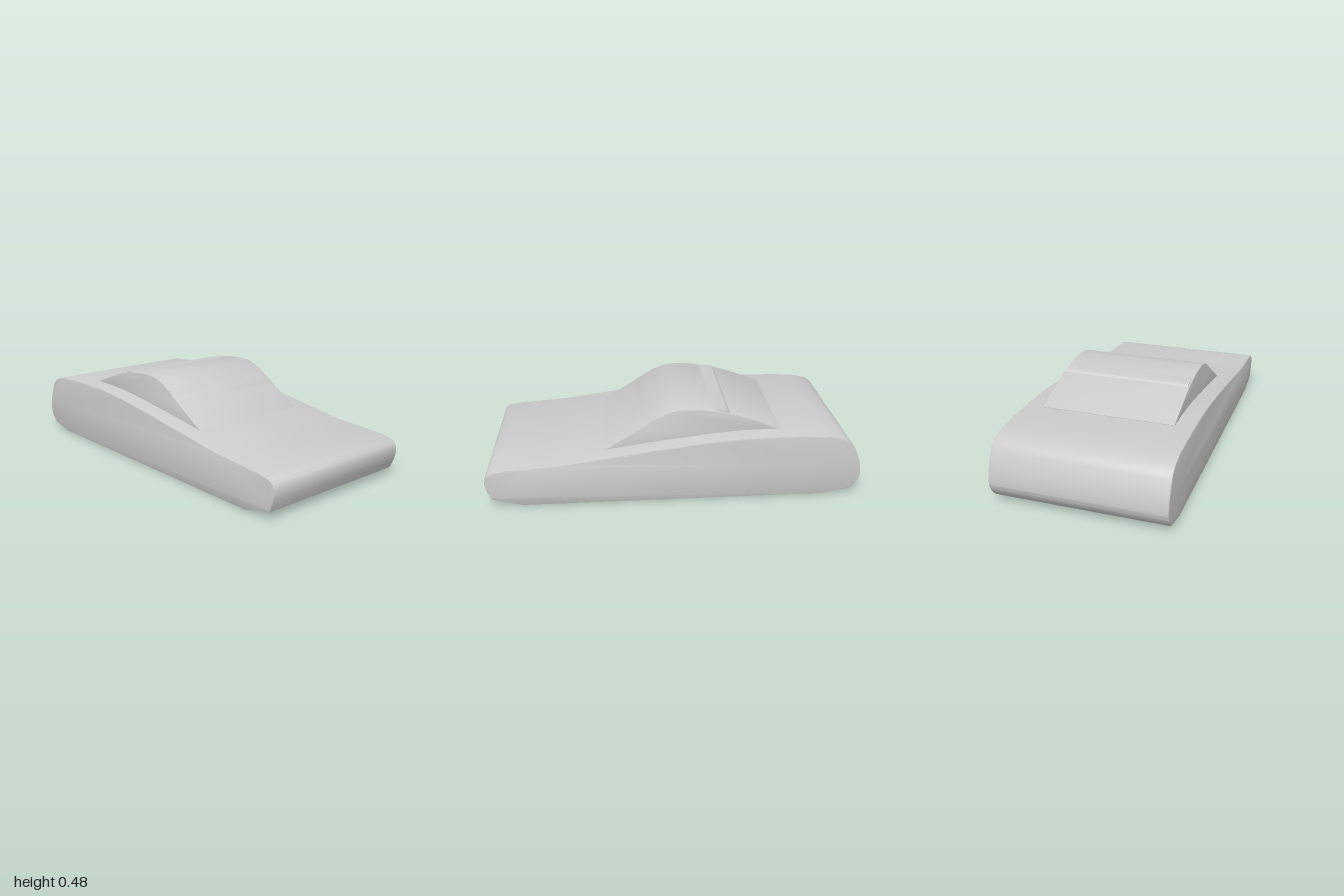
import * as THREE from 'three';
import { toCreasedNormals } from 'three/addons/utils/BufferGeometryUtils.js';

const material = new THREE.MeshStandardMaterial({ color: 0xcccccc });

// Extrudes a side profile (z, y) across the width, centred on x = 0
function profilePart(name, shape, width, bevel) {
  const depth = width - 2 * bevel;
  const extruded = new THREE.ExtrudeGeometry(shape, {
    depth, curveSegments: 10,
    bevelEnabled: bevel > 0, bevelSize: bevel, bevelThickness: bevel,
    bevelOffset: -bevel, bevelSegments: 2,
  });
  extruded.translate(0, 0, -depth / 2);
  extruded.rotateY(-Math.PI / 2);
  const mesh = new THREE.Mesh(toCreasedNormals(extruded, 0.45), material);
  mesh.name = name;
  return mesh;
}

export function createModel() {
  const model = new THREE.Group();
  model.name = 'car';

  // Wedge body: flat floor, chamfered ends, rounded nose and tail
  const body = new THREE.Shape();
  body.moveTo(-0.81, 0);
  body.lineTo(0.81, 0);
  body.lineTo(0.97, 0.04);
  body.bezierCurveTo(0.985, 0.075, 1.0, 0.105, 1.0, 0.14);
  body.bezierCurveTo(1.0, 0.185, 0.975, 0.198, 0.92, 0.205);
  body.bezierCurveTo(0.8, 0.219, 0.68, 0.217, 0.56, 0.235);
  body.bezierCurveTo(0.35, 0.262, 0.17, 0.293, 0, 0.312);
  body.bezierCurveTo(-0.15, 0.331, -0.3, 0.35, -0.47, 0.351);
  body.bezierCurveTo(-0.62, 0.351, -0.72, 0.35, -0.82, 0.341);
  body.bezierCurveTo(-0.9, 0.33, -0.935, 0.312, -0.955, 0.27);
  body.bezierCurveTo(-0.985, 0.21, -1.0, 0.16, -1.0, 0.11);
  body.bezierCurveTo(-0.995, 0.075, -0.97, 0.05, -0.95, 0.03);
  body.closePath();
  model.add(profilePart('body', body, 0.91, 0.006));

  // Cabin: sloped windscreen, arched roof, long rear slope sunk into the body
  const cabin = new THREE.Shape();
  cabin.moveTo(0.37, 0.25);
  cabin.lineTo(0.37, 0.26);
  cabin.lineTo(0.2, 0.365);
  cabin.bezierCurveTo(0.09, 0.435, 0.04, 0.478, -0.07, 0.478);
  cabin.bezierCurveTo(-0.14, 0.478, -0.2, 0.468, -0.26, 0.457);
  cabin.bezierCurveTo(-0.35, 0.437, -0.45, 0.4, -0.57, 0.353);
  cabin.lineTo(-0.57, 0.33);
  cabin.lineTo(-0.1, 0.29);
  cabin.closePath();
  model.add(profilePart('cabin', cabin, 0.708, 0.003));

  // Thin lip where the roof meets the rear slope
  const lip = new THREE.Shape();
  lip.moveTo(-0.19, 0.466);
  lip.quadraticCurveTo(-0.25, 0.466, -0.285, 0.458);
  lip.lineTo(-0.297, 0.448);
  lip.lineTo(-0.19, 0.455);
  lip.closePath();
  model.add(profilePart('roofLip', lip, 0.69, 0));

  return model;
}
